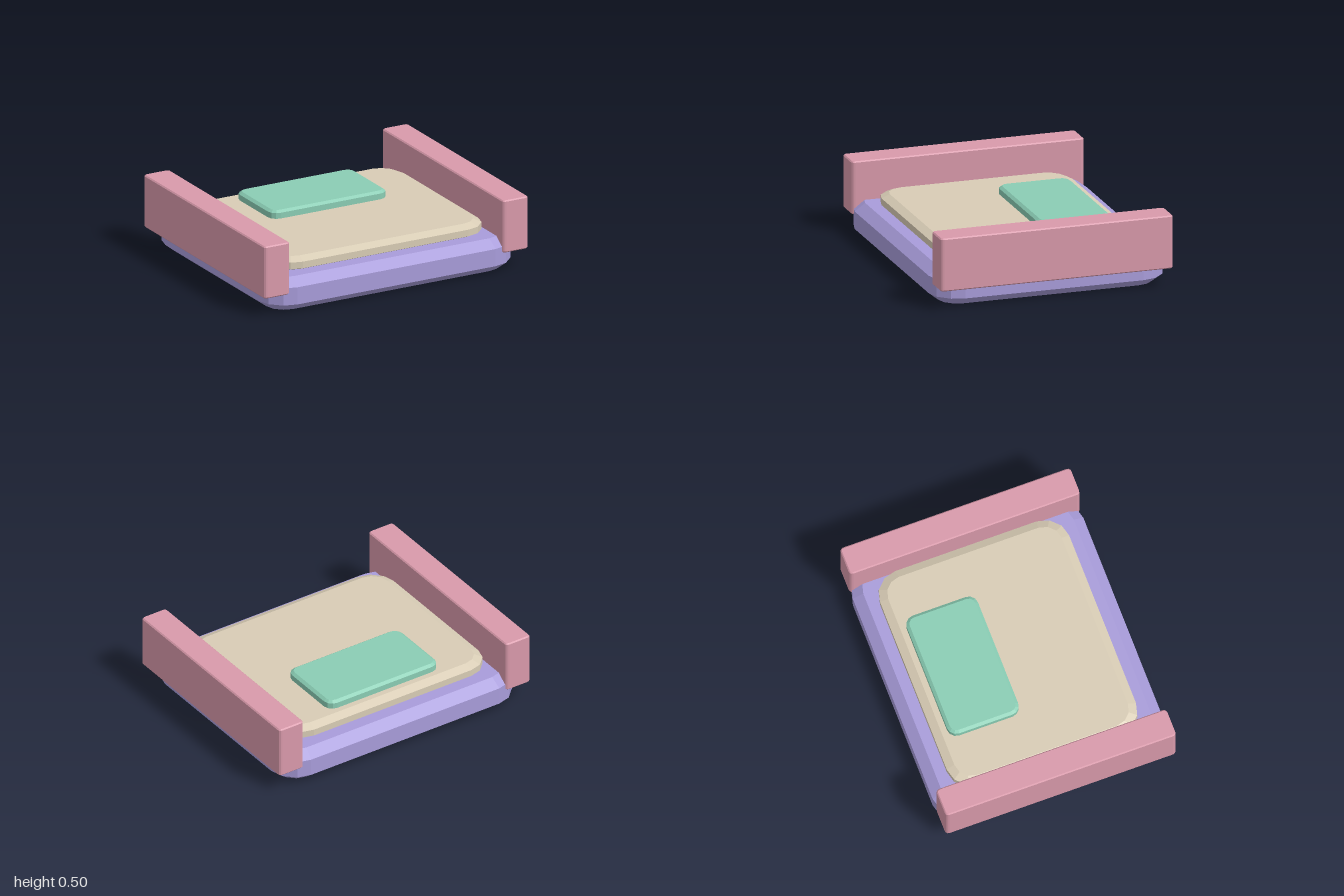
import * as THREE from 'three';

// Outline of a rounded rectangle with three facets per corner
function roundedOutline(halfX, halfZ, radius, segments) {
  const points = [];
  const corners = [[1, 1], [-1, 1], [-1, -1], [1, -1]];
  corners.forEach(([sx, sz], quarter) => {
    for (let i = 0; i <= segments; i++) {
      const a = (quarter + i / segments) * Math.PI / 2;
      points.push(new THREE.Vector2(
        sx * (halfX - radius) + radius * Math.cos(a),
        sz * (halfZ - radius) + radius * Math.sin(a)));
    }
  });
  return new THREE.Shape(points);
}

// Flat slab from y0 to y1 with chamfered upper and lower rims
function slab(name, material, { width, depth, y0, y1, radius, inset, chamfer, x = 0, z = 0 }) {
  const shape = roundedOutline(width / 2 - inset, depth / 2 - inset, radius - inset, 3);
  const geometry = new THREE.ExtrudeGeometry(shape, {
    depth: y1 - y0 - 2 * chamfer,
    bevelEnabled: true, bevelSegments: 1, bevelSize: inset, bevelThickness: chamfer,
  });
  geometry.translate(0, 0, chamfer);
  geometry.rotateX(-Math.PI / 2);
  const mesh = new THREE.Mesh(geometry, material);
  mesh.name = name;
  mesh.position.set(x, y0, z);
  return mesh;
}

function paint(name, color) {
  const material = new THREE.MeshStandardMaterial({ color });
  material.name = name;
  return material;
}

export function createModel() {
  const group = new THREE.Group();
  group.name = 'bed';
  const purple = paint('purple', 0xa89cda);
  const beige = paint('beige', 0xd8ccb5);
  const green = paint('green', 0x8acdb4);
  const pink = paint('pink', 0xd899aa);

  // Base and bedding
  group.add(
    slab('base', purple, { width: 1.88, depth: 1.62, y0: 0, y1: 0.23, radius: 0.2, inset: 0.07, chamfer: 0.055 }),
    slab('mattress', beige, { width: 1.59, depth: 1.33, y0: 0.215, y1: 0.313, radius: 0.175, inset: 0.055, chamfer: 0.026 }),
    slab('pillow', green, { width: 0.88, depth: 0.5, y0: 0.295, y1: 0.368, radius: 0.065, inset: 0.02, chamfer: 0.015, z: -0.32 }),
  );

  // Side boards, mirrored
  for (const [side, name] of [[1, 'leftSideBoard'], [-1, 'rightSideBoard']]) {
    group.add(slab(name, pink, {
      width: 0.195, depth: 1.62, y0: 0.135, y1: 0.5, radius: 0.025, inset: 0.008, chamfer: 0.008, x: side * 0.9025,
    }));
  }
  return group;
}
